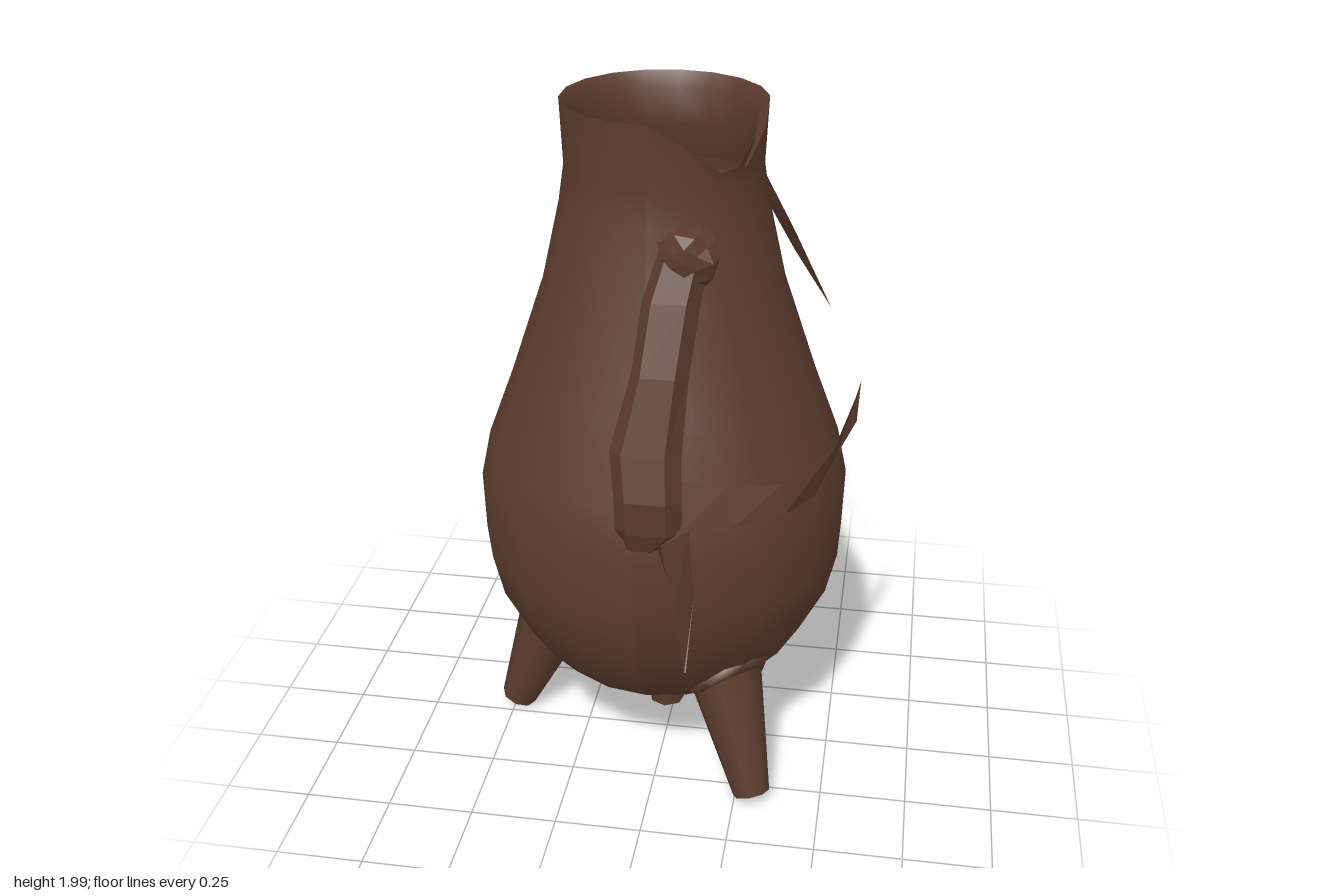
import * as THREE from 'three';

const clay = new THREE.MeshStandardMaterial({ color: 0x5c3c2d, side: THREE.DoubleSide });
clay.name = 'brown clay';
const CX = -0.02, CZ = -0.07; // axis of the pot

function add(parent, name, geometry) {
  const mesh = new THREE.Mesh(geometry, clay);
  mesh.name = name;
  parent.add(mesh);
  return mesh;
}

// Flat-shaded skin over a list of equal-length cross-sections
function loft(sections, closed) {
  const n = sections[0].length, index = [];
  for (let i = 0; i < sections.length - 1; i++) {
    for (let j = 0; j < (closed ? n : n - 1); j++) {
      const a = i * n + j, b = i * n + (j + 1) % n;
      index.push(a, b, a + n, b, b + n, a + n);
    }
  }
  const g = new THREE.BufferGeometry();
  g.setAttribute('position', new THREE.Float32BufferAttribute(sections.flat(2), 3));
  g.setIndex(index);
  const flat = g.toNonIndexed();
  flat.computeVertexNormals();
  return flat;
}

// Surface of revolution whose rim dips into a pouring notch at front left
function potGeometry(profile) {
  const g = new THREE.LatheGeometry(profile.map(([r, y]) => new THREE.Vector2(r, y)), 18);
  const p = g.attributes.position;
  for (let i = 0; i < p.count; i++) {
    const y = p.getY(i);
    if (y < 1.9) continue;
    const off = Math.abs(Math.atan2(p.getZ(i), p.getX(i)) - 0.7);
    p.setY(i, y - 0.17 * Math.max(0, 1 - off / 0.8));
  }
  g.computeVertexNormals();
  g.translate(CX, 0, CZ);
  return g;
}

export function createModel() {
  const model = new THREE.Group();
  model.name = 'threeLeggedJug';

  // Pear-shaped body and the inner lip of the mouth
  add(model, 'body', potGeometry([
    [0, 0.2], [0.1, 0.205], [0.24, 0.26], [0.34, 0.32], [0.425, 0.42], [0.5, 0.57], [0.53, 0.7],
    [0.535, 0.88], [0.505, 1.02], [0.43, 1.22], [0.335, 1.5], [0.285, 1.72], [0.27, 1.82], [0.278, 2]]));
  add(model, 'innerLip', potGeometry([[0.278, 2], [0.25, 1.96], [0.24, 1.86], [0.272, 1.76]]));

  // Three splayed, tapering legs with a worn collar at each root
  const up = new THREE.Vector3(0, 1, 0);
  for (const [x, z] of [[0.3, 0.31], [0.28, -0.5], [-0.49, -0.05]]) {
    const leg = new THREE.Group();
    leg.name = 'leg';
    const foot = new THREE.Vector3(x, 0.035, z);
    const out = new THREE.Vector3(x - CX, 0, z - CZ).normalize();
    const root = new THREE.Vector3(CX, 0.4, CZ).addScaledVector(out, 0.33);
    const axis = root.clone().sub(foot);
    const shaft = add(leg, 'legShaft', new THREE.CylinderGeometry(0.115, 0.055, axis.length(), 8));
    const collar = add(leg, 'legCollar', new THREE.TorusGeometry(0.105, 0.022, 4, 9).rotateX(Math.PI / 2));
    const turn = new THREE.Quaternion().setFromUnitVectors(up, axis.clone().normalize());
    shaft.quaternion.copy(turn);
    shaft.position.copy(root).add(foot).multiplyScalar(0.5);
    const slope = out.clone().multiplyScalar(0.75).addScaledVector(up, -0.66).normalize();
    collar.quaternion.setFromUnitVectors(up, slope);
    collar.position.set(CX, 0.375, CZ).addScaledVector(out, 0.365);
    model.add(leg);
  }

  // Short stub under the middle of the body
  add(model, 'bottomStub', new THREE.CylinderGeometry(0.07, 0.055, 0.15, 7)).position.set(-0.01, 0.155, -0.06);

  // Strap handle: centre x, y, z and half width of each cross-section
  const strap = [
    [0.09, 1.72, 0.2, 0.06], [0.09, 1.71, 0.28, 0.065], [0.06, 1.58, 0.33, 0.075], [0.04, 1.4, 0.39, 0.075],
    [0.01, 1.2, 0.44, 0.095], [0.02, 1.08, 0.47, 0.09], [0.02, 0.98, 0.46, 0.09], [0, 0.92, 0.44, 0.05]];
  add(model, 'handle', loft(strap.map(([x, y, z, w]) => [
    [x - w, y, z - 0.015], [x - w * 0.6, y + 0.01, z + 0.03], [x + w * 0.6, y + 0.01, z + 0.03],
    [x + w, y, z - 0.015], [x, y - 0.015, z - 0.03]]), true));

  // Crumpled knot where the handle meets the neck
  const knot = new THREE.IcosahedronGeometry(0.075, 1);
  const kp = knot.attributes.position;
  for (let i = 0; i < kp.count; i++) {
    const k = 1 + 0.2 * Math.sin(kp.getX(i) * 90 + kp.getY(i) * 130 + kp.getZ(i) * 70);
    kp.setXYZ(i, kp.getX(i) * k, kp.getY(i) * k, kp.getZ(i) * k);
  }
  knot.computeVertexNormals();
  add(model, 'handleKnot', knot).position.set(0.095, 1.69, 0.28);

  // Pointed splinter hanging below the handle
  add(model, 'splinter', loft([
    [[0.03, 1, 0.46], [0.07, 1, 0.55], [0.13, 1, 0.46]],
    [[0.09, 0.82, 0.49], [0.11, 0.82, 0.58], [0.15, 0.82, 0.5]],
    [[0.14, 0.65, 0.6], [0.14, 0.65, 0.6], [0.145, 0.65, 0.6]]], true));

  // Curved blade sweeping round the side
  add(model, 'sideBlade', loft([
    [[0.1, 1.12, 0.42], [0.1, 0.98, 0.46]],
    [[0.22, 1.1, 0.39], [0.24, 0.99, 0.41]],
    [[0.36, 1.1, 0.35], [0.37, 1.01, 0.35]],
    [[0.49, 1.17, 0.25], [0.44, 1.02, 0.26]],
    [[0.535, 1.26, 0.1], [0.49, 1.08, 0.12]],
    [[0.54, 1.25, 0], [0.535, 1.14, 0.03]]], false));

  // Loose flap peeling off the neck
  add(model, 'neckFlap', loft([
    [[0.12, 1.88, -0.33], [0.1, 1.8, -0.35]],
    [[0.22, 1.76, -0.28], [0.2, 1.68, -0.37]],
    [[0.32, 1.6, -0.23], [0.32, 1.5, -0.32]],
    [[0.44, 1.4, -0.15], [0.43, 1.41, -0.17]]], false));

  return model;
}
